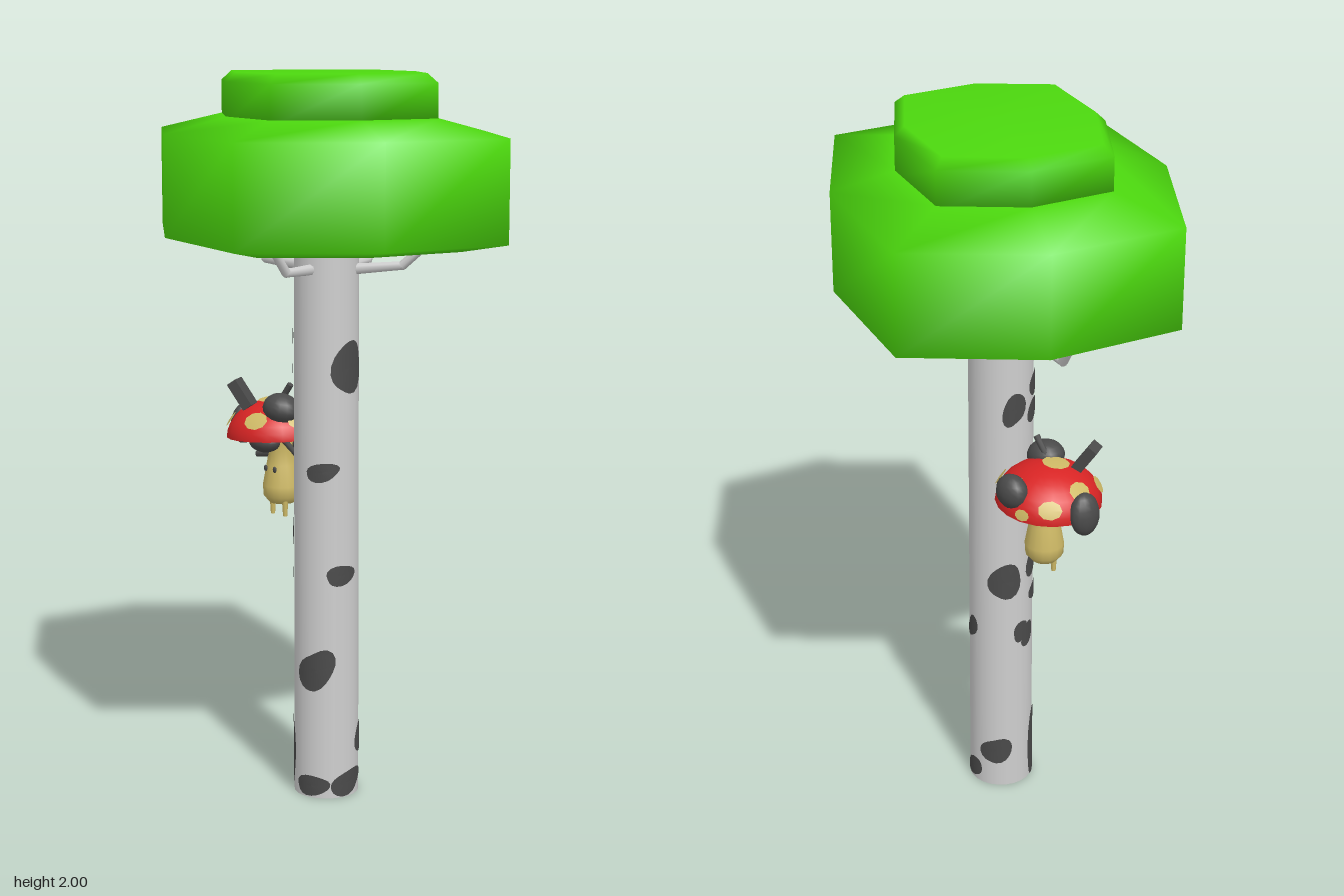
import * as THREE from 'three';

const mat = (name, color, side = THREE.FrontSide) => {
  const m = new THREE.MeshStandardMaterial({ color, side });
  m.name = name;
  return m;
};

export function createModel() {
  const group = new THREE.Group();
  const leaf = mat('leaf green', 0x4cd80e);
  const bark = mat('pale bark', 0xcecece);
  const dark = mat('dark grey', 0x4a4a4a);
  const red = mat('cap red', 0xd82424);
  const cream = mat('cream yellow', 0xcfba66);

  const add = (parent, name, geo, m, pos = [0, 0, 0], rot = [0, 0, 0], scale = [1, 1, 1]) => {
    const mesh = new THREE.Mesh(geo, m);
    mesh.name = name;
    mesh.position.set(...pos);
    mesh.rotation.set(...rot);
    mesh.scale.set(...scale);
    parent.add(mesh);
    return mesh;
  };

  // Canopy: an uneven octagon swept through [scale, height] rings
  const half = [[-0.225, -0.518], [-0.475, -0.24], [-0.549, 0.127], [-0.2, 0.395]];
  const outline = [...half, ...half.map(([x, z]) => [-x, -z])];
  const n = outline.length;
  const loft = (rings) => {
    const pos = [], idx = [];
    rings.forEach(([s, y]) => outline.forEach(([x, z]) => pos.push(x * s, y, z * s)));
    const last = rings.length - 1;
    for (let r = 0; r < last; r++) {
      for (let i = 0; i < n; i++) {
        const a = r * n + i, b = r * n + (i + 1) % n;
        idx.push(a, b, b + n, a, b + n, a + n);
      }
    }
    // Centre points close both ends
    pos.push(0, rings[0][1], 0, 0, rings[last][1], 0);
    const c = rings.length * n;
    for (let i = 0; i < n; i++) {
      const j = (i + 1) % n;
      idx.push(c, j, i, c + 1, last * n + i, last * n + j);
    }
    const g = new THREE.BufferGeometry();
    g.setAttribute('position', new THREE.Float32BufferAttribute(pos, 3));
    g.setIndex(idx);
    g.computeVertexNormals();
    return g;
  };
  add(group, 'lowerCanopy', loft([[0.75, 1.545], [1, 1.57], [1, 1.84], [0.62, 1.885]]), leaf);
  add(group, 'upperCanopy', loft([[0.62, 1.87], [0.62, 1.975], [0.56, 2]]), leaf);

  // Trunk
  const R = 0.088;
  add(group, 'trunk', new THREE.CylinderGeometry(R, R + 0.002, 1.545, 24), bark, [0, 0.7725, 0]);

  // Bark patches wrapped on the trunk: [angle, height, half angle, half height], angle from +z to +x
  const patches = [
    [-52, 1.28, 22, 0.035], [-58, 1.2, 20, 0.035], [90, 1.215, 34, 0.07], [40, 0.93, 32, 0.024],
    [-55, 0.74, 24, 0.055], [-50, 0.63, 20, 0.03], [75, 0.64, 30, 0.027], [-75, 0.5, 16, 0.035],
    [28, 0.37, 33, 0.06], [-48, 0.11, 24, 0.125], [125, 0.16, 20, 0.04], [90, 0.042, 36, 0.035],
    [254, 1.22, 20, 0.05], [238, 0.69, 30, 0.055], [268, 0.52, 16, 0.03], [168, 0.52, 16, 0.035],
    [222, 0.12, 28, 0.045], [20, 0.035, 34, 0.028], [170, 0.04, 26, 0.03],
  ];
  patches.forEach(([deg, y, ha, hh], k) => {
    const g = new THREE.RingGeometry(0, 1, 20, 4);
    const p = g.attributes.position;
    for (let i = 0; i < p.count; i++) {
      const u = p.getX(i), v = p.getY(i), t = Math.atan2(v, u);
      const wob = 1 + 0.1 * Math.sin(2 * t + k * 1.7) + 0.07 * Math.sin(3 * t + k * 2.3);
      const a = THREE.MathUtils.degToRad(deg + u * ha * wob);
      const py = Math.max(0.002, y + v * hh * wob + u * hh * 0.25);
      p.setXYZ(i, Math.sin(a) * (R + 0.004), py, Math.cos(a) * (R + 0.004));
    }
    g.computeVertexNormals();
    add(group, 'barkPatch', g, dark);
  });

  // Bent branches holding the canopy
  const rod = (parent, name, from, to, r0, r1, m) => {
    const a = new THREE.Vector3(...from), b = new THREE.Vector3(...to);
    const d = b.clone().sub(a);
    const mesh = add(parent, name, new THREE.CylinderGeometry(r1, r0, d.length(), 8), m);
    mesh.position.copy(a).addScaledVector(d, 0.5);
    mesh.quaternion.setFromUnitVectors(new THREE.Vector3(0, 1, 0), d.normalize());
  };
  [
    [[-0.06, 1.47, -0.02], [-0.34, 1.47, -0.08], [-0.41, 1.565, -0.1]],
    [[0.05, 1.475, -0.03], [0.18, 1.49, -0.11], [0.25, 1.56, -0.15]],
    [[0, 1.47, -0.06], [-0.08, 1.475, -0.23], [-0.12, 1.56, -0.3]],
    [[0.02, 1.48, 0.06], [0.04, 1.48, 0.18], [0.05, 1.565, 0.25]],
  ].forEach(([a, b, c]) => {
    rod(group, 'branch', a, b, 0.016, 0.012, bark);
    rod(group, 'branchTip', b, c, 0.013, 0.011, bark);
    add(group, 'branchElbow', new THREE.SphereGeometry(0.0125, 8, 6), bark, b);
  });

  // Mushroom creature hanging beside the trunk
  const shroom = new THREE.Group();
  shroom.name = 'mushroom';
  shroom.position.set(-0.185, 0, 0);
  group.add(shroom);
  const V = (pts) => pts.map(([x, y]) => new THREE.Vector2(x, y));
  add(shroom, 'stem', new THREE.LatheGeometry(
    V([[0, 0.795], [0.035, 0.8], [0.052, 0.82], [0.054, 0.85], [0.043, 0.91], [0.036, 0.95], [0.045, 1.0]]), 16), cream);
  for (const [x, z] of [[-0.022, 0.015], [0.03, 0.015]]) {
    rod(shroom, 'foot', [x, 0.81, z], [x, 0.765, z], 0.009, 0.006, cream);
  }
  for (const x of [-0.02, 0.018]) {
    add(shroom, 'eye', new THREE.SphereGeometry(0.007, 8, 6), dark, [x, 0.9, 0.043], [0, 0, 0], [1, 1.3, 0.6]);
  }

  // Tilted cap, spots placed on its dome
  const cap = new THREE.Group();
  cap.name = 'cap';
  cap.position.set(-0.015, 0.99, 0);
  cap.rotation.z = 0.05;
  shroom.add(cap);
  const domeR = 0.145, domeH = 0.105;
  add(cap, 'dome', new THREE.SphereGeometry(1, 20, 8, 0, Math.PI * 2, 0, Math.PI / 2), red,
    [0, 0, 0], [0, 0, 0], [domeR, domeH, domeR]);
  add(cap, 'gills', new THREE.LatheGeometry(V([[0.03, 0.02], [0.1, 0.005], [domeR, 0]]), 20), cream);
  for (const [deg, tilt, r] of [[0, 8, 0.26], [20, 58, 0.24], [-40, 62, 0.2], [-85, 48, 0.22], [-130, 66, 0.22],
    [170, 50, 0.26], [125, 65, 0.2], [75, 60, 0.22], [-160, 78, 0.14]]) {
    const g = new THREE.CircleGeometry(r, 9);
    const p = g.attributes.position;
    const q = new THREE.Quaternion().setFromEuler(new THREE.Euler(
      THREE.MathUtils.degToRad(tilt - 90), THREE.MathUtils.degToRad(deg), 0, 'YXZ'));
    for (let i = 0; i < p.count; i++) {
      const v = new THREE.Vector3(p.getX(i), p.getY(i), 1).normalize().applyQuaternion(q).multiplyScalar(1.045);
      p.setXYZ(i, v.x * domeR, Math.max(0.004, v.y * domeH), v.z * domeR);
    }
    g.computeVertexNormals();
    add(cap, 'spot', g, cream);
  }

  // Dark lumps growing on the cap and under it
  const ball = new THREE.SphereGeometry(1, 14, 10);
  for (const [pos, s, rz] of [
    [[-0.16, 1.005, 0], [0.032, 0.06, 0.045], -0.1],
    [[0.055, 1.08, 0.05], [0.055, 0.042, 0.05], -0.2],
    [[-0.005, 1.05, -0.12], [0.05, 0.048, 0.038], 0],
    [[-0.015, 0.977, 0.05], [0.05, 0.03, 0.04], 0],
    [[0.045, 0.972, -0.045], [0.042, 0.03, 0.04], 0],
  ]) add(shroom, 'lump', ball, dark, pos, [0, 0, rz], s);

  // Upright plate and small twigs
  add(shroom, 'plate', new THREE.BoxGeometry(0.03, 0.085, 0.05), dark, [-0.07, 1.11, 0.085], [0, 0.5, 0.6]);
  rod(shroom, 'twig', [0.0, 1.06, 0.03], [0.06, 1.145, 0.02], 0.009, 0.009, dark);
  rod(shroom, 'leftArm', [0.03, 0.985, 0.02], [0.1, 0.95, 0.03], 0.009, 0.007, dark);
  rod(shroom, 'rightArm', [-0.02, 0.94, 0.02], [-0.07, 0.932, 0.03], 0.01, 0.01, dark);
  rod(shroom, 'backArm', [0.03, 0.94, -0.02], [0.07, 0.93, -0.03], 0.01, 0.01, dark);

  return group;
}
